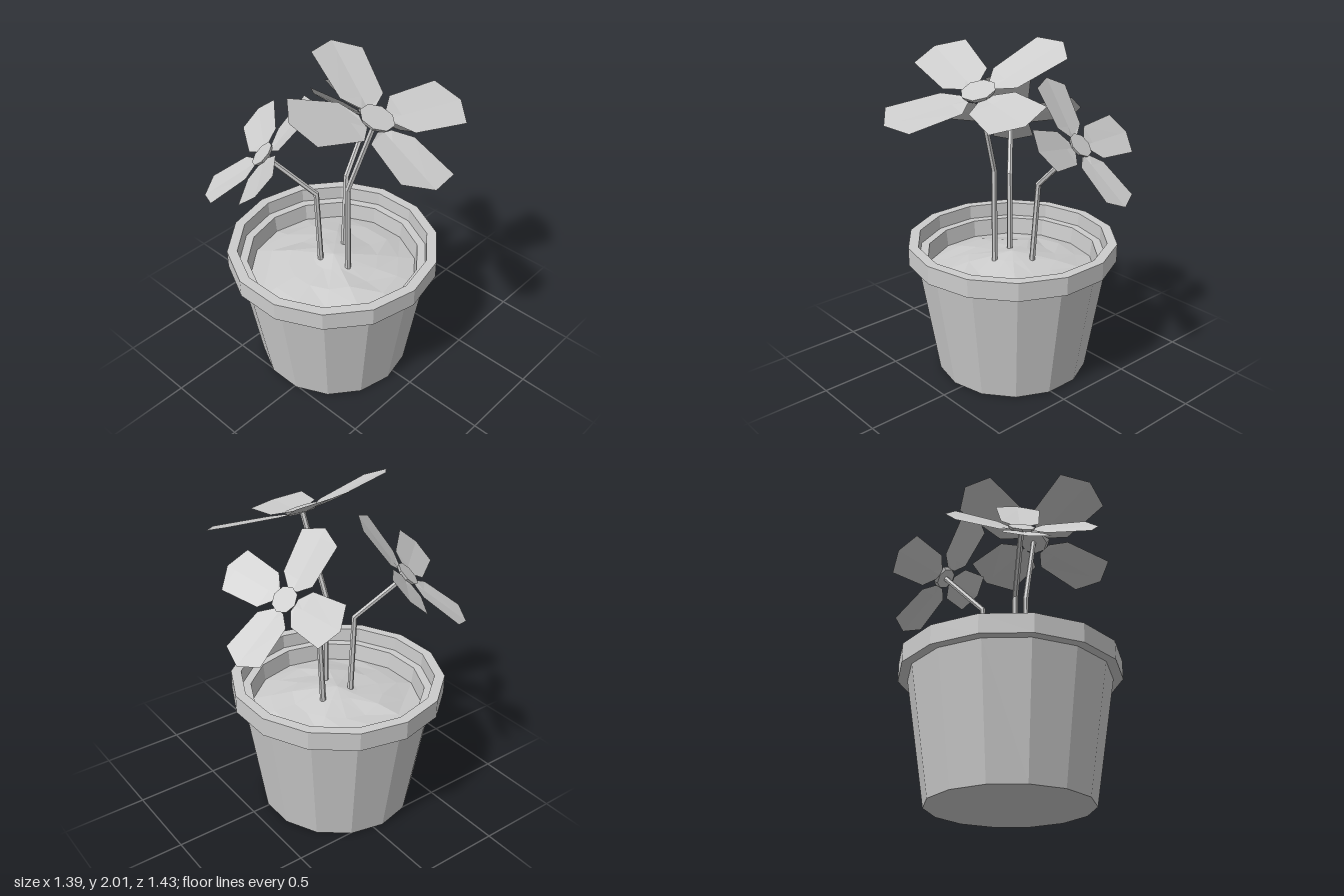
import * as THREE from 'three';

const SIDES = 14;
const grey = new THREE.MeshStandardMaterial({ color: 0xcccccc, flatShading: true, side: THREE.DoubleSide });
grey.name = 'light grey';

function part(name, geometry, parent) {
  const mesh = new THREE.Mesh(geometry, grey);
  mesh.name = name;
  parent.add(mesh);
  return mesh;
}

const lathe = (points) =>
  new THREE.LatheGeometry(points.map(([r, y]) => new THREE.Vector2(r, y)), SIDES);

// Tapered pot with an overhanging rim and an inner ledge
function potGeometry() {
  return lathe([
    [0, 0], [0.46, 0], [0.575, 0.72], [0.63, 0.72], [0.63, 0.83],
    [0.57, 0.83], [0.565, 0.745], [0.515, 0.745], [0.5, 0.62],
  ]);
}

// Low mound of soil with gentle lumps
function soilGeometry() {
  const g = lathe([[0.505, 0.64], [0.4, 0.665], [0.27, 0.69], [0.12, 0.72], [0, 0.73]]);
  const p = g.attributes.position;
  for (let i = 0; i < p.count; i++) {
    const x = p.getX(i), z = p.getZ(i), r = Math.hypot(x, z);
    if (r < 0.45) p.setY(i, p.getY(i) + 0.012 * Math.sin(x * 17 + 1) * Math.cos(z * 13));
  }
  return g;
}

// Flat petal, slightly raised towards the tip and folded along its midline
function petalGeometry() {
  const outline = [[0.045, 0.085], [0.14, 0.165], [0.168, 0.475]]; // half width, distance
  const lift = (d) => Math.max(0, d - 0.085) * 0.15;
  const pos = [];
  for (const [w, d] of outline) {
    pos.push(-w, lift(d) + 0.008, d, 0, lift(d), d, w, lift(d) + 0.008, d);
  }
  pos.push(0, lift(0.55), 0.55);
  const index = [];
  for (let row = 0; row < 2; row++) {
    for (let k = 0; k < 2; k++) {
      const a = row * 3 + k;
      index.push(a, a + 3, a + 1, a + 1, a + 3, a + 4);
    }
  }
  index.push(6, 9, 7, 7, 9, 8);
  const g = new THREE.BufferGeometry();
  g.setAttribute('position', new THREE.Float32BufferAttribute(pos, 3));
  g.setIndex(index);
  g.computeVertexNormals();
  return g;
}

// Bent stem: each ring of a cylinder is moved to a path point and turned
function stemGeometry(points, headTurn) {
  const g = new THREE.CylinderGeometry(0.016, 0.018, 2, 6, 2);
  const p = g.attributes.position;
  const v = new THREE.Vector3();
  const turns = [0, 0.5, 1].map((t) => new THREE.Quaternion().slerp(headTurn, t));
  for (let i = 0; i < p.count; i++) {
    v.fromBufferAttribute(p, i);
    const ring = Math.round(v.y + 1);
    v.y = 0;
    v.applyQuaternion(turns[ring]).add(points[ring]);
    p.setXYZ(i, v.x, v.y, v.z);
  }
  g.computeVertexNormals();
  return g;
}

function flower(name, { path, normal, petal, scale }) {
  const group = new THREE.Group();
  group.name = name;
  const points = path.map((q) => new THREE.Vector3(...q));
  const up = new THREE.Vector3(...normal).normalize();
  const out = new THREE.Vector3(...petal).projectOnPlane(up).normalize();
  const side = new THREE.Vector3().crossVectors(up, out);

  const headTurn = new THREE.Quaternion().setFromUnitVectors(new THREE.Vector3(0, 1, 0), up);
  part('stem', stemGeometry(points, headTurn), group);

  // Head faces along the normal, first petal along "out"
  const head = new THREE.Group();
  head.name = 'flowerHead';
  head.quaternion.setFromRotationMatrix(new THREE.Matrix4().makeBasis(side, up, out));
  head.position.copy(points[2]);
  head.scale.setScalar(scale);
  group.add(head);

  const petalShape = petalGeometry();
  for (let i = 0; i < 4; i++) part('petal', petalShape, head).rotation.y = (i * Math.PI) / 2;
  part('flowerCentre', new THREE.CylinderGeometry(0.1, 0.085, 0.025, 8), head).position.y = 0.01;
  return group;
}

const FLOWERS = {
  frontFlower: {
    path: [[-0.07, 0.68, 0.04], [-0.07, 1.28, 0.04], [-0.015, 1.765, 0.19]],
    normal: [0.108, 1, 0.39], petal: [-0.145, -0.115, 0.52], scale: 1,
  },
  leftFlower: {
    path: [[0.07, 0.66, -0.13], [0.11, 1.2, -0.14], [0.365, 1.475, -0.2]],
    normal: [0.7, 0.69, -0.19], petal: [0.33, -0.24, -0.03], scale: 0.77,
  },
  rightFlower: {
    path: [[-0.125, 0.66, -0.13], [-0.14, 1.2, -0.14], [-0.345, 1.475, -0.33]],
    normal: [-0.51, 0.72, -0.46], petal: [0.2, 0.31, 0.2], scale: 0.78,
  },
};

export function createModel() {
  const model = new THREE.Group();
  model.name = 'pottedFlowers';

  for (const [name, geometry] of [['pot', potGeometry()], ['soil', soilGeometry()]]) {
    part(name, geometry, model).position.set(-0.06, 0, -0.09);
  }
  for (const [name, spec] of Object.entries(FLOWERS)) model.add(flower(name, spec));
  return model;
}
